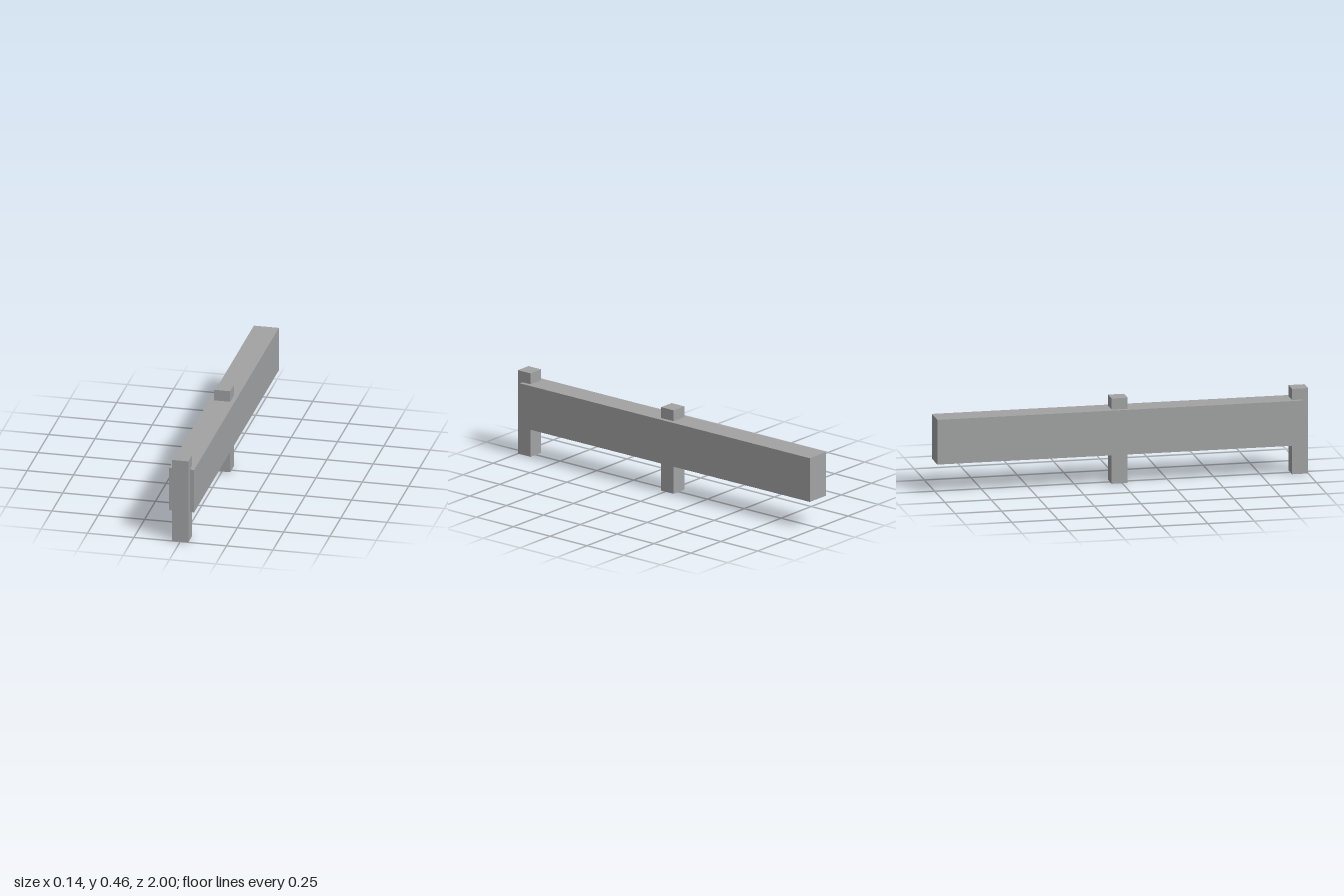
import * as THREE from 'three';

export function createModel() {
  const model = new THREE.Group();
  model.name = 'barrier';
  const grey = new THREE.MeshStandardMaterial({ color: 0xa2a3a4 });
  grey.name = 'grey';

  // Box centred on x = 0, spanning the given heights and depths
  function addBox(name, width, y0, y1, z0, z1) {
    const mesh = new THREE.Mesh(new THREE.BoxGeometry(width, y1 - y0, z1 - z0), grey);
    mesh.position.set(0, (y0 + y1) / 2, (z0 + z1) / 2);
    mesh.name = name;
    model.add(mesh);
  }

  // Long horizontal rail
  addBox('rail', 0.135, 0.16, 0.402, -1, 0.967);

  // Two upright posts passing through the rail
  const postDepth = 0.086;
  for (const [name, front] of [['frontPost', 1], ['middlePost', 0.029]]) {
    addBox(name, 0.088, 0, 0.462, front - postDepth, front);
  }
  return model;
}
